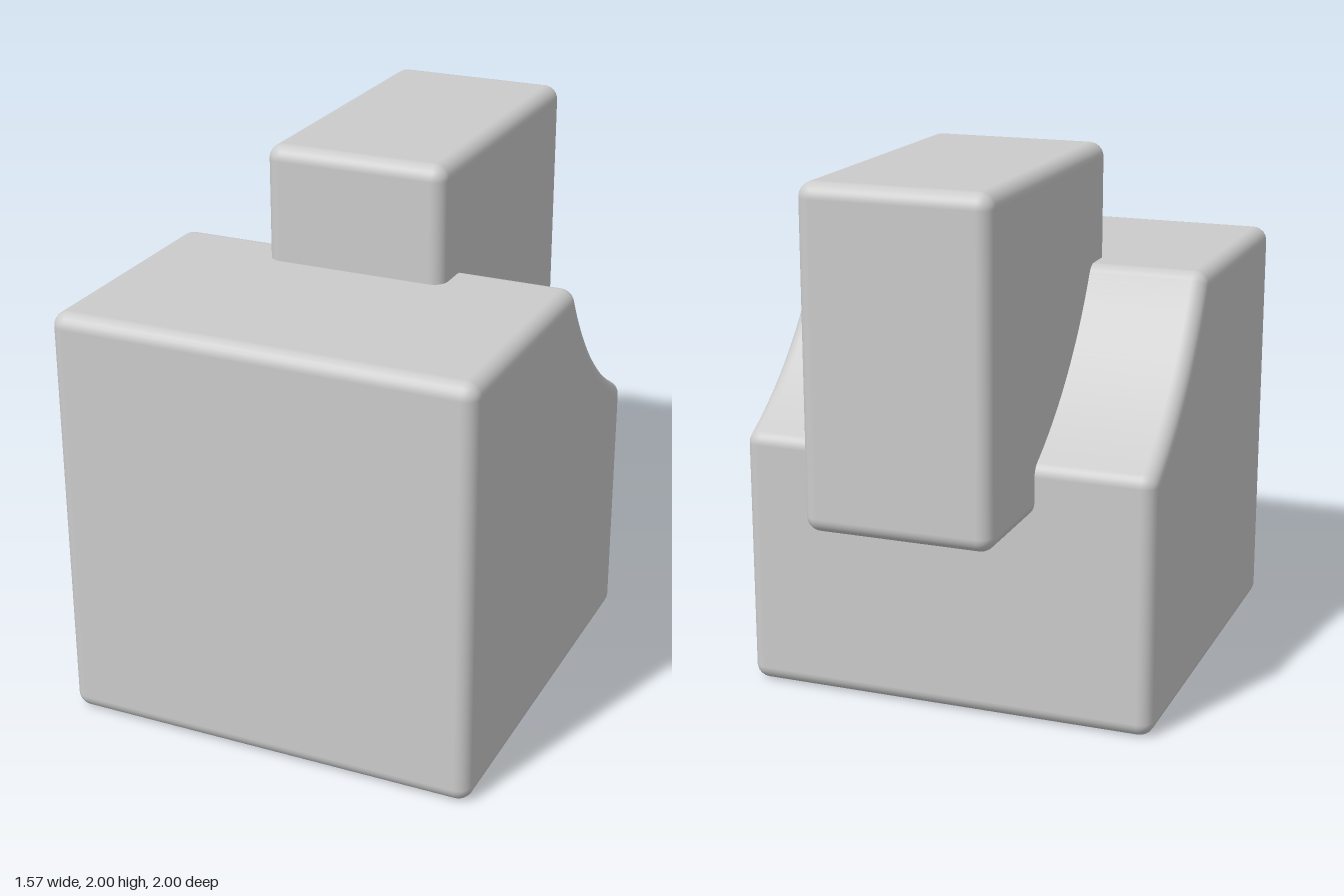
import * as THREE from 'three';
import { RoundedBoxGeometry } from 'three/addons/geometries/RoundedBoxGeometry.js';

const R = 0.055;    // edge rounding
const STEPS = 6;    // segments per rounded edge
const HALF = 0.785; // half width of the body
const TOP = 1.57, FRONT = 1, BACK = -0.57;

// Side outline as [z, y, normal angle], inset by R; corners repeat a point while the normal turns
function bodyOutline() {
  const cz = -1.207, cy = 2.212, arcR = 1.4 + R; // scoop centre and inset radius
  const out = [];
  const corner = (z, y, a0, a1) => {
    for (let i = 0; i <= STEPS; i++) out.push([z, y, a0 + (a1 - a0) * i / STEPS]);
  };
  const topY = TOP - R, backZ = BACK + R;
  const topZ = cz + Math.sqrt(arcR ** 2 - (topY - cy) ** 2);
  const backY = cy - Math.sqrt(arcR ** 2 - (backZ - cz) ** 2);
  const a1 = Math.atan2(cy - topY, cz - topZ);
  const a2 = Math.atan2(cy - backY, cz - backZ);
  const H = Math.PI / 2;

  corner(FRONT - R, R, -H, 0);
  corner(FRONT - R, topY, 0, H);
  corner(topZ, topY, H, a1);
  const n = 24;
  for (let i = 1; i < n; i++) {
    const a = a1 + (a2 - a1) * i / n;
    out.push([cz - arcR * Math.cos(a), cy - arcR * Math.sin(a), a]);
  }
  corner(backZ, backY, a2, 2 * H);
  corner(backZ, R, 2 * H, 3 * H);
  return out;
}

// Sweeps an outline across x with rounded rims and flat end caps
function roundedPrism(outline, half) {
  const pos = [], nor = [], idx = [], n = outline.length;
  const rings = [];
  for (const side of [1, -1]) {
    for (let k = 0; k <= STEPS; k++) {
      const t = (side > 0 ? STEPS - k : k) / STEPS * Math.PI / 2;
      rings.push([side * (half - R), side * Math.sin(t), Math.cos(t)]);
    }
  }
  for (const [x, s, c] of rings) {
    for (const [z, y, a] of outline) {
      const ny = Math.sin(a) * c, nz = Math.cos(a) * c;
      pos.push(x + s * R, y + ny * R, z + nz * R);
      nor.push(s, ny, nz);
    }
  }
  for (let k = 0; k < rings.length - 1; k++) {
    for (let i = 0; i < n; i++) {
      const j = (i + 1) % n, a = k * n + i, b = k * n + j;
      idx.push(a, b, a + n, b, b + n, a + n);
    }
  }
  // caps use each distinct outline point once
  const unique = [];
  outline.forEach(([z, y], i) => {
    const p = outline[(i + n - 1) % n];
    if (Math.hypot(z - p[0], y - p[1]) > 1e-6) unique.push(i);
  });
  const pts = unique.map(i => new THREE.Vector2(outline[i][0], outline[i][1]));
  const last = (rings.length - 1) * n;
  for (const f of THREE.ShapeUtils.triangulateShape(pts, [])) {
    const [a, b, c] = f.map(i => unique[i]);
    idx.push(a, c, b, last + a, last + b, last + c);
  }
  const g = new THREE.BufferGeometry();
  g.setAttribute('position', new THREE.Float32BufferAttribute(pos, 3));
  g.setAttribute('normal', new THREE.Float32BufferAttribute(nor, 3));
  g.setIndex(idx);
  return g;
}

export function createModel() {
  const group = new THREE.Group();
  const material = new THREE.MeshStandardMaterial({ color: 0xcccccc });

  // main cube with a concave scoop along its upper back edge
  const body = new THREE.Mesh(roundedPrism(bodyOutline(), HALF), material);
  body.name = 'scoopedBody';

  // narrow block seated in the scoop
  const block = new THREE.Mesh(new RoundedBoxGeometry(0.692, 1.215, 1.215, STEPS, R), material);
  block.name = 'rearBlock';
  block.position.set(0, 1.3925, -0.3925);

  group.add(body, block);
  return group;
}
